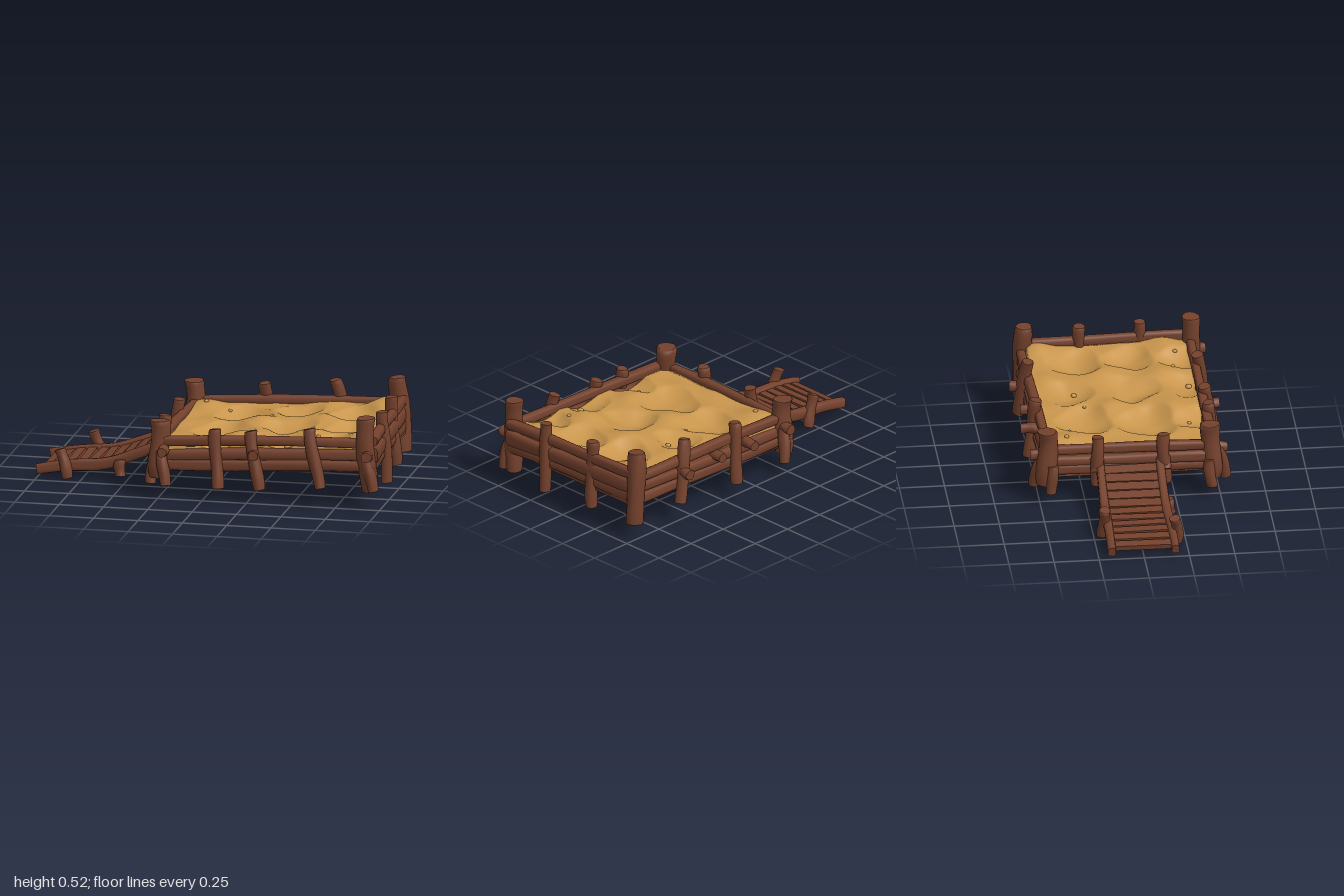
import * as THREE from 'three';

const wood = new THREE.MeshStandardMaterial({ color: 0x74412d });
wood.name = 'brown wood';
const sand = new THREE.MeshStandardMaterial({ color: 0xc8954c });
sand.name = 'yellow sand';

let seed = 7;
const rand = () => ((seed = (seed * 16807) % 2147483647) / 2147483647);
const V = (p) => new THREE.Vector3(...p);
const UP = [0, 1, 0];

// Knobbly log swept through points; h and w are its half sizes, h pointing along ref.
// Rails (ref = UP) get a squarer, plank-like section.
function log(name, points, h, w = h, ref = [1, 0, 0]) {
  const curve = new THREE.CatmullRomCurve3(points.map(V));
  const rows = points.length > 2 ? 18 : 10;
  const g = new THREE.CylinderGeometry(1, 1, 1, 16, rows);
  const pos = g.attributes.position;
  const a = rand() * 6, b = rand() * 6;
  for (let i = 0; i < pos.count; i++) {
    const t = Math.min(1, Math.max(0, pos.getY(i) + 0.5));
    const d = curve.getTangent(t);
    const side = V(ref).cross(d).normalize();
    const up = d.clone().cross(side);
    const x = pos.getX(i), z = pos.getZ(i), ang = Math.atan2(z, x);
    const end = t < 0.01 || t > 0.99 ? 0.92 : 1;
    const square = ref === UP ? (Math.cos(ang) ** 4 + Math.sin(ang) ** 4) ** -0.25 : 1;
    const k = end * square * (1 + 0.06 * Math.sin(t * 9 + a) + 0.05 * Math.sin(3 * ang + t * 5 + b));
    const p = curve.getPoint(t)
      .addScaledVector(up, x * h * k + 0.1 * h * Math.sin(t * 7 + b))
      .addScaledVector(side, z * w * k + 0.1 * w * Math.sin(t * 6 + a));
    pos.setXYZ(i, p.x, p.y, p.z);
  }
  g.computeVertexNormals();
  const m = new THREE.Mesh(g, wood);
  m.name = name;
  return m;
}

// Sand surface: tilted plane with scooped hollows, sharp at the rim, and soft mounds
const hollows = [ // x, z, radius, depth
  [0.04, 0.13, 0.17, 0.055], [0.08, -0.22, 0.16, 0.055], [0.72, -0.2, 0.15, 0.05],
  [0.4, 0.08, 0.15, 0.045], [0.75, 0.1, 0.14, 0.045], [0.38, -0.27, 0.13, 0.04],
  [0.42, 0.4, 0.13, 0.04], [0.05, 0.42, 0.14, 0.04], [0.72, 0.38, 0.12, 0.04],
];
const mounds = [ // x, z, radius, height
  [0.84, -0.39, 0.1, 0.05], [-0.17, -0.37, 0.11, 0.035], [0.22, -0.06, 0.09, 0.025],
  [0.55, -0.08, 0.1, 0.03], [0.56, 0.25, 0.1, 0.025], [0.2, 0.28, 0.09, 0.025],
  [0.55, -0.38, 0.08, 0.025], [0.87, 0.3, 0.1, 0.03],
];
function sandHeight(x, z) {
  let y = 0.325 + 0.05 * x;
  for (const [cx, cz, r, depth] of hollows) {
    const wobble = 1 + 0.13 * Math.sin(3 * Math.atan2(z - cz, x - cx) + 9 * cx);
    const q = Math.hypot(x - cx, z - cz) / (r * wobble);
    y -= depth * Math.max(0, 1 - q * q);
  }
  for (const [cx, cz, r, h] of mounds) y += h * Math.exp(-((x - cx) ** 2 + (z - cz) ** 2) / (r * r));
  return y + 0.005 * Math.sin(23 * x + 6 * z) * Math.sin(19 * z - 7 * x);
}

function buildSand() {
  const nx = 96, nz = 76;
  const g = new THREE.PlaneGeometry(1.18, 0.92, nx, nz).rotateX(-Math.PI / 2).translate(0.345, 0, -0.01);
  const pos = g.attributes.position;
  for (let i = 0; i < pos.count; i++) {
    const c = i % (nx + 1), r = Math.floor(i / (nx + 1));
    const rim = c === 0 || c === nx || r === 0 || r === nz;
    pos.setY(i, rim ? 0.23 : sandHeight(pos.getX(i), pos.getZ(i)));
  }
  g.computeVertexNormals();
  const m = new THREE.Mesh(g, sand);
  m.name = 'sand';
  return m;
}

// Small lumps lying on the sand
function buildPebbles() {
  const group = new THREE.Group();
  group.name = 'sandLumps';
  for (const [x, z, r] of [[-0.16, -0.34, 0.014], [-0.02, -0.31, 0.012], [0.42, -0.24, 0.016],
    [0.24, -0.2, 0.01], [0.62, 0.33, 0.012], [0.46, 0.4, 0.018], [0.8, 0.36, 0.013], [0.05, 0.36, 0.012]]) {
    const m = new THREE.Mesh(new THREE.SphereGeometry(r, 10, 7), sand);
    m.scale.y = 0.7;
    m.position.set(x, sandHeight(x, z) + r * 0.2, z);
    m.name = 'sandLump';
    group.add(m);
  }
  return group;
}

export function createModel() {
  const model = new THREE.Group();
  model.name = 'sandpit';
  const add = (...args) => model.add(log(...args));

  // Sloping floor
  const floorGeo = new THREE.BoxGeometry(1.19, 0.06, 0.92).translate(0.345, 0.21, -0.01);
  const fp = floorGeo.attributes.position;
  for (let i = 0; i < fp.count; i++) fp.setY(i, fp.getY(i) + 0.045 * (fp.getX(i) - 0.345));
  floorGeo.computeVertexNormals();
  const floor = new THREE.Mesh(floorGeo, wood);
  floor.name = 'floor';
  model.add(floor, buildSand(), buildPebbles());

  // Corner posts: top and bottom
  for (const [top, bottom, r] of [
    [[-0.25, 0.437, 0.445], [-0.25, 0.12, 0.455], 0.054],
    [[0.91, 0.518, 0.465], [0.93, 0.1, 0.45], 0.05],
    [[0.89, 0.518, -0.47], [0.92, 0.1, -0.48], 0.05],
    [[-0.25, 0.437, -0.455], [-0.25, 0.12, -0.465], 0.054],
  ]) add('cornerPost', [top, bottom], r);

  // Front and back rails, rising to the right
  for (const [z0, z1] of [[0.46, 0.455], [-0.455, -0.485]]) {
    add('topRail', [[-0.27, 0.328, z0], [0.93, 0.375, z1]], 0.027, 0.026, UP);
    add('middleRail', [[-0.27, 0.245, z0], [0.93, 0.31, z1]], 0.031, 0.025, UP);
    add('bottomRail', [[-0.27, 0.193, z0], [0.93, 0.243, z1]], 0.031, 0.028, UP);
  }

  // Right end rails
  add('topRail', [[0.957, 0.39, 0.465], [0.915, 0.396, -0.48]], 0.028, 0.024, UP);
  add('middleRail', [[0.96, 0.308, 0.465], [0.917, 0.315, -0.48]], 0.042, 0.024, UP);
  add('bottomRail', [[0.955, 0.25, 0.46], [0.917, 0.256, -0.48]], 0.03, 0.022, UP);

  // Left end rails
  add('topRail', [[-0.262, 0.318, 0.46], [-0.243, 0.318, -0.46]], 0.027, 0.024, UP);
  add('middleRail', [[-0.262, 0.25, 0.46], [-0.245, 0.25, -0.46]], 0.03, 0.026, UP);
  add('bottomRail', [[-0.258, 0.2, 0.46], [-0.245, 0.2, -0.46]], 0.03, 0.026, UP);

  // Stakes along the sides, leaning outwards at the foot
  for (const [top, bottom] of [
    [[0.065, 0.41, 0.465], [0.09, 0.085, 0.51]],
    [[0.265, 0.41, 0.47], [0.325, 0.09, 0.52]],
    [[0.595, 0.44, 0.465], [0.665, 0.115, 0.51]],
    [[0.14, 0.44, -0.48], [0.165, 0.09, -0.52]],
    [[0.535, 0.48, -0.485], [0.61, 0.13, -0.53]],
    [[0.92, 0.486, -0.155], [0.945, 0.1, -0.17]],
    [[0.945, 0.486, 0.18], [0.97, 0.085, 0.17]],
    [[-0.28, 0.4, -0.18], [-0.3, 0.12, -0.19]],
    [[-0.28, 0.4, 0.18], [-0.3, 0.12, 0.19]],
  ]) add('stake', [top, bottom], 0.034);

  // Short braces beside the corners
  for (const [top, bottom] of [
    [[-0.23, 0.28, 0.49], [-0.2, 0.09, 0.54]],
    [[-0.29, 0.24, 0.43], [-0.3, 0.08, 0.45]],
    [[-0.23, 0.28, -0.49], [-0.2, 0.09, -0.53]],
    [[-0.29, 0.24, -0.43], [-0.3, 0.08, -0.44]],
    [[0.92, 0.3, 0.48], [0.965, 0.11, 0.5]],
  ]) add('cornerBrace', [top, bottom], 0.032);

  // Knobbly pegs poking out through the rails
  for (const [x, y, z] of [
    [-0.23, 0.28, 0.54], [0.28, 0.29, 0.55], [0.92, 0.31, 0.54],
    [-0.24, 0.29, -0.55], [0.06, 0.3, -0.57], [0.29, 0.3, -0.55], [0.57, 0.31, -0.58],
  ]) add('peg', [[x, y, z - Math.sign(z) * 0.12], [x + 0.015, y, z]], 0.03);

  // Ramp: curved side beams
  const path = [[-1, 0.047], [-0.83, 0.082], [-0.62, 0.105], [-0.45, 0.16], [-0.26, 0.235]];
  for (const z of [0.16, -0.168])
    add('rampBeam', path.map(([x, y]) => [x, y, z * (1 - 0.1 * (x + 0.26))]), 0.031, 0.024, UP);

  // Ramp planks, following the beams
  const rampCurve = new THREE.CatmullRomCurve3(path.map(([x, y]) => new THREE.Vector3(x, y, 0)));
  for (let i = 0; i < 11; i++) {
    const t = 0.075 + i * 0.084;
    const p = rampCurve.getPointAt(t), d = rampCurve.getTangentAt(t);
    const plank = new THREE.Mesh(new THREE.BoxGeometry(i < 6 ? 0.05 : 0.057, 0.03, 0.31), wood);
    plank.position.set(p.x, p.y, 0);
    plank.rotation.set(0, (rand() - 0.5) * 0.06, Math.atan2(d.y, d.x));
    plank.name = 'rampPlank';
    model.add(plank);
  }

  // Ramp stakes
  for (const [top, bottom] of [
    [[-0.865, 0.175, 0.185], [-0.82, 0.015, 0.205]],
    [[-0.76, 0.19, -0.19], [-0.705, 0.015, -0.205]],
    [[-0.535, 0.13, 0.18], [-0.53, 0.04, 0.195]],
  ]) add('rampStake', [top, bottom], 0.031);
  for (const z of [0.185, -0.185]) add('rampPeg', [[-0.31, 0.2, z], [-0.27, 0.27, z]], 0.036);

  // Rest on the ground
  const box = new THREE.Box3().setFromObject(model);
  model.children.forEach((m) => { m.position.y -= box.min.y; });
  return model;
}
